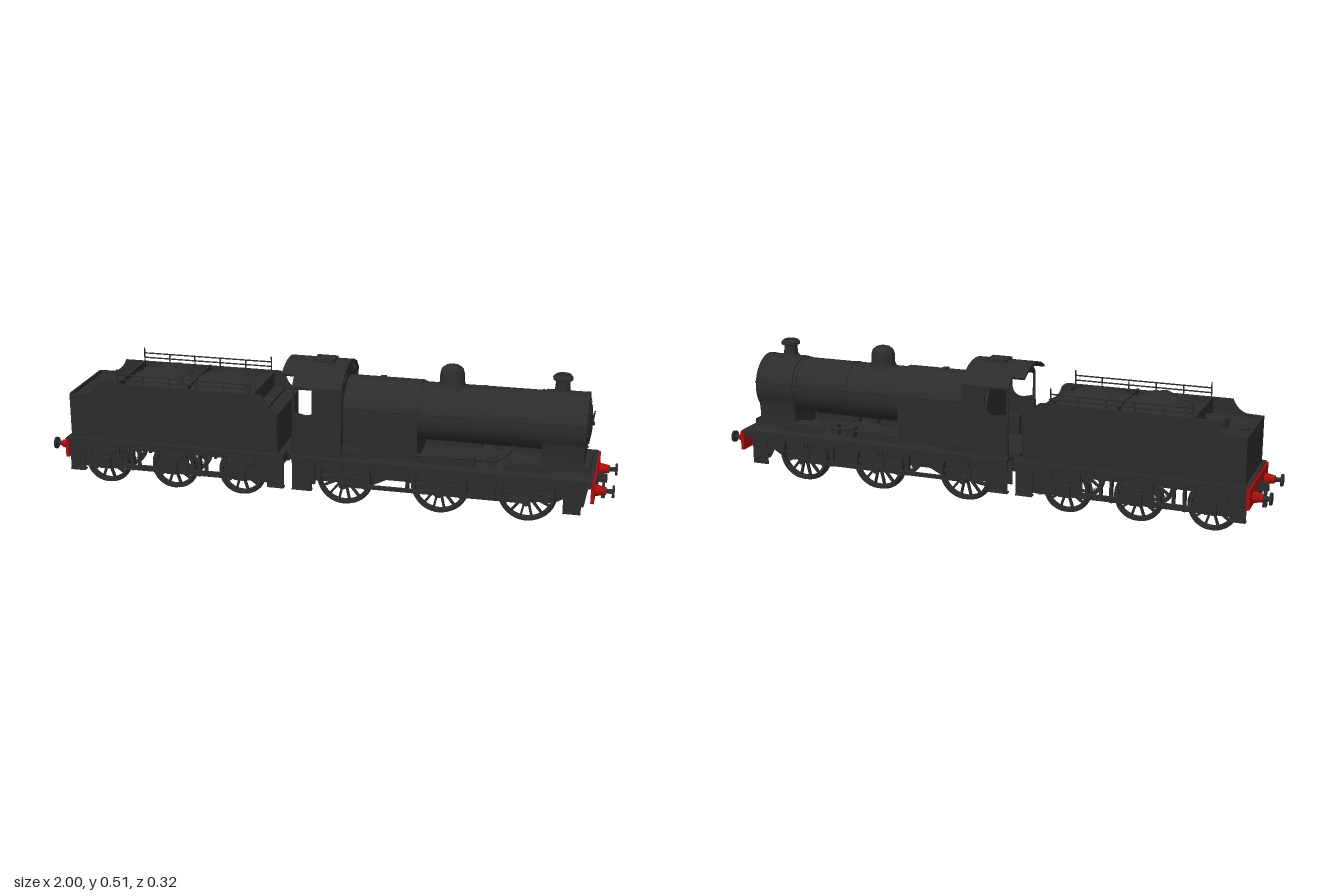
import * as THREE from 'three';
import { toCreasedNormals } from 'three/addons/utils/BufferGeometryUtils.js';

const mat = (name, color) => Object.assign(new THREE.MeshStandardMaterial({ color }), { name });

export function createModel() {
  const black = mat('paintBlack', 0x2c2c2c);
  const red = mat('beamRed', 0xa80d0d);
  const root = new THREE.Group();
  root.name = 'steamLocomotive';
  const loco = new THREE.Group(), tender = new THREE.Group();
  loco.name = 'engine';
  tender.name = 'tender';
  root.add(loco, tender);

  // ---- helpers ----
  const add = (g, name, geo, m = black) => {
    const mesh = new THREE.Mesh(geo, m);
    mesh.name = name;
    g.add(mesh);
    return mesh;
  };
  const box = (g, name, x0, x1, y0, y1, z0, z1, m) =>
    add(g, name, new THREE.BoxGeometry(x1 - x0, y1 - y0, Math.abs(z1 - z0))
      .translate((x0 + x1) / 2, (y0 + y1) / 2, (z0 + z1) / 2), m);
  const both = (f) => [1, -1].forEach(f);
  const pair = (g, name, x0, x1, y0, y1, z0, z1) => both(s => box(g, name, x0, x1, y0, y1, s * z0, s * z1));
  const poly = (pts) => new THREE.Shape(pts.map(p => new THREE.Vector2(...p)));
  const extrude = (shape, depth) => toCreasedNormals(
    new THREE.ExtrudeGeometry(shape, { depth, bevelEnabled: false, curveSegments: 32 }), 0.5);
  // cross-section (z, y) swept along x
  const alongX = (g, name, shape, x0, x1, m) =>
    add(g, name, extrude(shape, x1 - x0).rotateY(Math.PI / 2).translate(x0, 0, 0), m);
  // side profile (x, y) swept along z, on both sides
  const sides = (g, name, shape, z0, z1) =>
    both(s => add(g, name, extrude(shape, z1 - z0).translate(0, 0, s > 0 ? z0 : -z1)));
  const cylX = (g, name, r0, r1, x0, x1, y, z, m) =>
    add(g, name, new THREE.CylinderGeometry(r1, r0, x1 - x0, 40).rotateZ(-Math.PI / 2)
      .translate((x0 + x1) / 2, y, z), m);
  const lathe = (g, name, pts, x, y, z = 0) =>
    add(g, name, toCreasedNormals(new THREE.LatheGeometry(pts.map(p => new THREE.Vector2(...p)), 36), 0.6)
      .translate(x, y, z));
  const rod = (g, name, pts, r = 0.0025) => {
    const path = new THREE.CurvePath();
    for (let i = 1; i < pts.length; i++)
      path.add(new THREE.LineCurve3(new THREE.Vector3(...pts[i - 1]), new THREE.Vector3(...pts[i])));
    add(g, name, new THREE.TubeGeometry(path, (pts.length - 1) * 4, r, 6));
  };

  // ---- spoked wheels, flange on the inside ----
  const wheel = (g, x, y, r, s, driver) => {
    const w = new THREE.Group();
    w.name = driver ? 'drivingWheel' : 'tenderWheel';
    const t = [[r - 0.016, -0.013], [r, -0.013], [r, -0.008], [r - 0.006, -0.005], [r - 0.008, 0.013],
      [r - 0.018, 0.013], [r - 0.018, -0.013]].map(p => new THREE.Vector2(...p));
    add(w, 'tyre', toCreasedNormals(new THREE.LatheGeometry(t, 48), 0.5).rotateX(Math.PI / 2));
    add(w, 'hub', new THREE.CylinderGeometry(r * 0.22, r * 0.22, 0.03, 24).rotateX(Math.PI / 2));
    const n = driver ? 14 : 10;
    for (let i = 0; i < n; i++)
      add(w, 'spoke', new THREE.BoxGeometry(r * 0.7, 0.007, 0.012).translate(r * 0.5, 0, 0)
        .rotateZ(i * 2 * Math.PI / n));
    if (driver) {
      const bw = new THREE.Shape();
      bw.absarc(0, 0, r - 0.016, Math.PI * 0.3, Math.PI * 0.7, false);
      add(w, 'balanceWeight', extrude(bw, 0.016).translate(0, 0, -0.008));
    }
    w.position.set(x, y, s * 0.092);
    if (s < 0) w.rotation.y = Math.PI;
    g.add(w);
  };
  const drivers = [0.075, 0.41, 0.71], carriers = [-0.803, -0.55, -0.298];
  both(s => {
    drivers.forEach(x => wheel(loco, x, 0.104, 0.102, s, true));
    carriers.forEach(x => wheel(tender, x, 0.09, 0.087, s, false));
  });

  // ---- buffers, beam and coupling at each end ----
  const endGear = (g, dir) => {
    const e = new THREE.Group();
    e.name = 'bufferGear';
    box(e, 'bufferBeam', 0.925, 0.937, 0.115, 0.185, -0.16, 0.16, red);
    both(s => {
      cylX(e, 'bufferSocket', 0.02, 0.013, 0.937, 0.972, 0.143, s * 0.103, red);
      cylX(e, 'bufferStem', 0.008, 0.008, 0.97, 0.994, 0.143, s * 0.103);
      cylX(e, 'bufferHead', 0.021, 0.021, 0.992, 1, 0.143, s * 0.103);
      box(e, 'couplingLink', 0.955, 0.963, 0.085, 0.15, s * 0.008, s * 0.014);
    });
    box(e, 'couplingHook', 0.937, 0.97, 0.135, 0.162, -0.008, 0.008);
    box(e, 'couplingScrew', 0.953, 0.966, 0.08, 0.095, -0.014, 0.014);
    box(e, 'drawPlate', 0.937, 0.941, 0.12, 0.162, -0.015, 0.015);
    if (dir < 0) e.rotation.y = Math.PI;
    g.add(e);
  };
  endGear(loco, 1);
  endGear(tender, -1);

  // ---- engine chassis ----
  box(loco, 'runningBoard', -0.1, 0.93, 0.178, 0.19, -0.158, 0.158);
  pair(loco, 'valance', -0.1, 0.926, 0.163, 0.18, 0.145, 0.151);
  sides(loco, 'mainFrame', poly([[-0.09, 0.18], [-0.09, 0.075], [0.17, 0.075], [0.22, 0.1], [0.3, 0.1], [0.34, 0.07],
    [0.8, 0.07], [0.85, 0.1], [0.87, 0.065], [0.9, 0.065], [0.92, 0.18]]), 0.066, 0.075);
  pair(loco, 'couplingRod', 0.065, 0.72, 0.078, 0.092, 0.112, 0.12);
  drivers.forEach(x => both(s => add(loco, 'crankPin', new THREE.CylinderGeometry(0.014, 0.014, 0.022, 20)
    .rotateX(Math.PI / 2).translate(x, 0.085, s * 0.115))));
  drivers.forEach(x => pair(loco, 'brakeHanger', x - 0.118, x - 0.106, 0.07, 0.18, 0.085, 0.1));
  pair(loco, 'cabStepPlate', -0.1, -0.03, 0.065, 0.18, 0.143, 0.147);
  pair(loco, 'cabStep', -0.1, -0.03, 0.065, 0.07, 0.13, 0.152);
  pair(loco, 'frontStepPlate', 0.835, 0.895, 0.065, 0.18, 0.143, 0.147);
  drivers.forEach((x, i) => {
    const arch = new THREE.Shape(), r = 0.125;
    const a = Math.asin((0.187 - 0.1) / r);
    arch.absarc(x, 0.1, r, a, Math.PI - a, false);
    sides(loco, 'splasher', arch, 0.07, i ? 0.117 : 0.13);
  });
  // sand boxes and injector gear beside the boiler
  pair(loco, 'sandBox', 0.5, 0.53, 0.19, 0.225, 0.08, 0.115);
  pair(loco, 'injector', 0.57, 0.6, 0.19, 0.23, 0.075, 0.1);
  both(s => rod(loco, 'feedPipe', [[0.33, 0.215, s * 0.11], [0.62, 0.215, s * 0.1], [0.66, 0.27, s * 0.09]], 0.005));

  // ---- boiler, firebox, smokebox ----
  const by = 0.342;
  cylX(loco, 'boiler', 0.1, 0.1, 0.3, 0.78, by, 0);
  [0.335, 0.54, 0.74].forEach(x => cylX(loco, 'boilerBand', 0.102, 0.102, x - 0.005, x + 0.005, by, 0));
  const fire = new THREE.Shape();
  fire.moveTo(0.1, 0.185);
  fire.lineTo(0.106, by);
  fire.absarc(0, by, 0.106, 0, Math.PI, false);
  fire.lineTo(-0.1, 0.185);
  alongX(loco, 'firebox', fire, -0.01, 0.33);
  const smoke = new THREE.Shape();
  smoke.moveTo(0.085, 0.185);
  smoke.quadraticCurveTo(0.078, 0.235, 0.0905, by - 0.0525);
  smoke.absarc(0, by, 0.1045, -Math.PI / 6, Math.PI * 7 / 6, false);
  smoke.quadraticCurveTo(-0.078, 0.235, -0.085, 0.185);
  alongX(loco, 'smokebox', smoke, 0.75, 0.893);
  cylX(loco, 'smokeboxRing', 0.106, 0.106, 0.885, 0.896, by, 0);
  const door = [[0, 0.014], [0.03, 0.0125], [0.06, 0.008], [0.08, 0]].map(p => new THREE.Vector2(...p)).reverse();
  add(loco, 'smokeboxDoor', new THREE.LatheGeometry(door, 40).rotateZ(-Math.PI / 2).translate(0.896, by, 0));
  for (let i = 0; i < 12; i++) {
    const a = (i + 0.5) * Math.PI / 6;
    cylX(loco, 'doorClamp', 0.004, 0.004, 0.895, 0.901, by + 0.081 * Math.sin(a), 0.081 * Math.cos(a));
  }
  rod(loco, 'doorRail', [[0.912, 0.363, -0.063], [0.912, 0.363, 0.063]]);
  box(loco, 'doorHandle', 0.908, 0.916, 0.335, 0.348, -0.003, 0.003);
  box(loco, 'saddleStep', 0.89, 0.915, 0.187, 0.215, -0.085, 0.085);
  both(s => rod(loco, 'boilerHandrail', [[0.09, 0.363, s * 0.111], [0.895, 0.363, s * 0.111]]));
  lathe(loco, 'chimney', [[0.045, 0.425], [0.036, 0.443], [0.026, 0.453], [0.023, 0.485], [0.033, 0.489], [0.034, 0.497],
    [0.026, 0.506], [0.02, 0.506], [0.018, 0.48], [0, 0.48]], 0.803, 0);
  lathe(loco, 'steamDome', [[0.056, 0.425], [0.047, 0.443], [0.042, 0.455], [0.042, 0.482], [0.037, 0.499], [0.025, 0.509],
    [0.012, 0.513], [0, 0.514]], 0.43, 0);
  pair(loco, 'safetyValve', 0.18, 0.2, 0.437, 0.453, 0.001, 0.016);

  // ---- cab ----
  const roofLine = [[0.139, 0.435], [0.105, 0.47], [0.07, 0.487], [0.035, 0.497], [0, 0.5]];
  const mirrorLine = (l) => [...l, ...l.slice(0, -1).reverse().map(([z, y]) => [-z, y])];
  const front = poly([[0.139, 0.185], ...mirrorLine(roofLine), [-0.139, 0.185]]);
  both(s => {
    front.holes.push(new THREE.Path([[0.047, 0.452], [0.085, 0.447], [0.085, 0.466], [0.047, 0.476]]
      .map(([z, y]) => new THREE.Vector2(s * z, y))));
    front.holes.push(new THREE.Path([[0.108, 0.4], [0.128, 0.39], [0.128, 0.425], [0.108, 0.437]]
      .map(([z, y]) => new THREE.Vector2(s * z, y))));
  });
  alongX(loco, 'cabFront', front, 0.062, 0.072);
  const roofBand = (line) => poly([...mirrorLine(line),
    ...mirrorLine(line.map(([z, y]) => [z * 0.97, y - 0.008])).reverse()]);
  alongX(loco, 'cabRoof', roofBand(roofLine), -0.1, 0.074);
  alongX(loco, 'roofOverhang', roofBand(roofLine.slice(1)), -0.145, -0.1);
  box(loco, 'roofVent', -0.05, 0.022, 0.49, 0.506, -0.035, 0.035);
  const side = poly([[-0.1, 0.185], [0.07, 0.185], [0.07, 0.437], [-0.1, 0.437]]);
  const opening = new THREE.Path();
  opening.moveTo(-0.092, 0.345);
  opening.lineTo(-0.055, 0.337);
  opening.bezierCurveTo(-0.02, 0.337, -0.012, 0.36, -0.012, 0.39);
  opening.bezierCurveTo(-0.012, 0.415, -0.02, 0.432, -0.04, 0.432);
  opening.lineTo(-0.092, 0.432);
  side.holes.push(opening);
  sides(loco, 'cabSide', side, 0.133, 0.139);
  box(loco, 'cabFloor', -0.13, 0.065, 0.185, 0.2, -0.11, 0.11);
  pair(loco, 'cabSeat', -0.05, 0.06, 0.2, 0.27, 0.105, 0.134);
  both(s => rod(loco, 'cabHandrail', [[-0.098, 0.335, s * 0.138], [-0.098, 0.33, s * 0.144], [-0.098, 0.21, s * 0.144],
    [-0.098, 0.205, s * 0.138]]));

  // ---- tender frames ----
  box(tender, 'tenderFootplate', -0.93, -0.128, 0.178, 0.19, -0.158, 0.158);
  const frame = poly([[-0.925, 0.18], [-0.925, 0.1], [-0.89, 0.068], [-0.18, 0.068], [-0.15, 0.1], [-0.15, 0.18]]);
  [-0.676, -0.424].forEach(x => both(s => {
    const c = x + s * 0.036;
    frame.holes.push(new THREE.Path([[c - 0.03, 0.088], [c + 0.03, 0.088], [c + 0.03, 0.135], [c + 0.015, 0.152],
      [c - 0.015, 0.152], [c - 0.03, 0.135]].map(p => new THREE.Vector2(...p))));
  }));
  sides(tender, 'tenderFrame', frame, 0.108, 0.115);
  pair(tender, 'tenderValance', -0.926, -0.13, 0.163, 0.18, 0.145, 0.151);
  box(tender, 'tankBottom', -0.9, -0.15, 0.125, 0.18, -0.065, 0.065);
  carriers.forEach(x => {
    pair(tender, 'axleBox', x - 0.02, x + 0.02, 0.07, 0.112, 0.113, 0.128);
    for (let i = 0; i < 3; i++)
      pair(tender, 'leafSpring', x - 0.055 + i * 0.014, x + 0.055 - i * 0.014, 0.138 - i * 0.008, 0.145 - i * 0.008, 0.114, 0.127);
    both(s => pair(tender, 'springHanger', x + s * 0.052 - 0.004, x + s * 0.052 + 0.004, 0.125, 0.18, 0.114, 0.125));
    pair(tender, 'tenderBrake', x + 0.09, x + 0.1, 0.06, 0.17, 0.08, 0.1);
  });
  [[-0.925, -0.87], [-0.19, -0.13]].forEach(([a, b]) => {
    pair(tender, 'tenderStepPlate', a, b, 0.065, 0.18, 0.143, 0.147);
    pair(tender, 'tenderStep', a, b, 0.065, 0.07, 0.13, 0.152);
  });

  // ---- tender body ----
  const wall = new THREE.Shape();
  wall.moveTo(-0.917, 0.185);
  wall.lineTo(-0.152, 0.185);
  wall.lineTo(-0.152, 0.335);
  wall.quadraticCurveTo(-0.185, 0.345, -0.195, 0.375);
  wall.quadraticCurveTo(-0.2, 0.398, -0.225, 0.4);
  wall.lineTo(-0.81, 0.4);
  wall.quadraticCurveTo(-0.825, 0.36, -0.86, 0.352);
  wall.lineTo(-0.917, 0.35);
  sides(tender, 'tenderSide', wall, 0.137, 0.144);
  box(tender, 'waterTank', -0.917, -0.2, 0.185, 0.34, -0.138, 0.138);
  box(tender, 'tenderFrontPlate', -0.21, -0.152, 0.185, 0.33, -0.138, 0.138);
  box(tender, 'tenderBackPlate', -0.917, -0.91, 0.185, 0.352, -0.14, 0.14);
  box(tender, 'coalBulkhead', -0.742, -0.732, 0.33, 0.402, -0.138, 0.138);
  box(tender, 'coalGate', -0.25, -0.24, 0.33, 0.395, -0.138, 0.138);
  box(tender, 'coalDivider', -0.482, -0.476, 0.34, 0.408, -0.13, 0.13);
  lathe(tender, 'waterFiller', [[0.038, 0.335], [0.038, 0.365], [0.042, 0.366], [0.042, 0.374], [0.02, 0.381], [0, 0.382]], -0.787, 0);
  both(s => lathe(tender, 'tankVent', [[0.016, 0.335], [0.016, 0.36], [0, 0.366]], -0.787, 0, s * 0.08));
  lathe(tender, 'tankHatch', [[0.028, 0.335], [0.028, 0.346], [0, 0.35]], -0.87, 0);

  // coal heap: rippled sheet with two mounds, faceted
  const coal = new THREE.PlaneGeometry(0.486, 0.27, 40, 18).rotateX(-Math.PI / 2).translate(-0.488, 0, 0);
  const p = coal.attributes.position;
  for (let i = 0; i < p.count; i++) {
    const x = p.getX(i), z = p.getZ(i);
    const h = 0.062 * Math.exp(-(((x + 0.59) / 0.1) ** 2)) + 0.052 * Math.exp(-(((x + 0.35) / 0.1) ** 2));
    const lump = Math.sin(x * 91 + z * 40) * Math.sin(z * 113 - x * 17) * 0.005;
    p.setY(i, 0.375 + h * (1 - (z / 0.15) ** 2) + lump);
  }
  const lumps = coal.toNonIndexed();
  lumps.computeVertexNormals();
  add(tender, 'coal', lumps);

  // coal rails
  both(s => {
    [0.415, 0.432].forEach(y => rod(tender, 'coalRail', [[-0.735, y, s * 0.137], [-0.25, y, s * 0.137]]));
    for (let i = 0; i < 6; i++) {
      const x = -0.735 + i * 0.097;
      rod(tender, 'railPost', [[x, 0.39, s * 0.137], [x, i % 5 ? 0.433 : 0.452, s * 0.137]]);
    }
    rod(tender, 'tenderHandrail', [[-0.156, 0.33, s * 0.149], [-0.156, 0.21, s * 0.149]]);
  });
  box(root, 'drawbar', -0.16, -0.08, 0.14, 0.155, -0.02, 0.02);
  return root;
}
